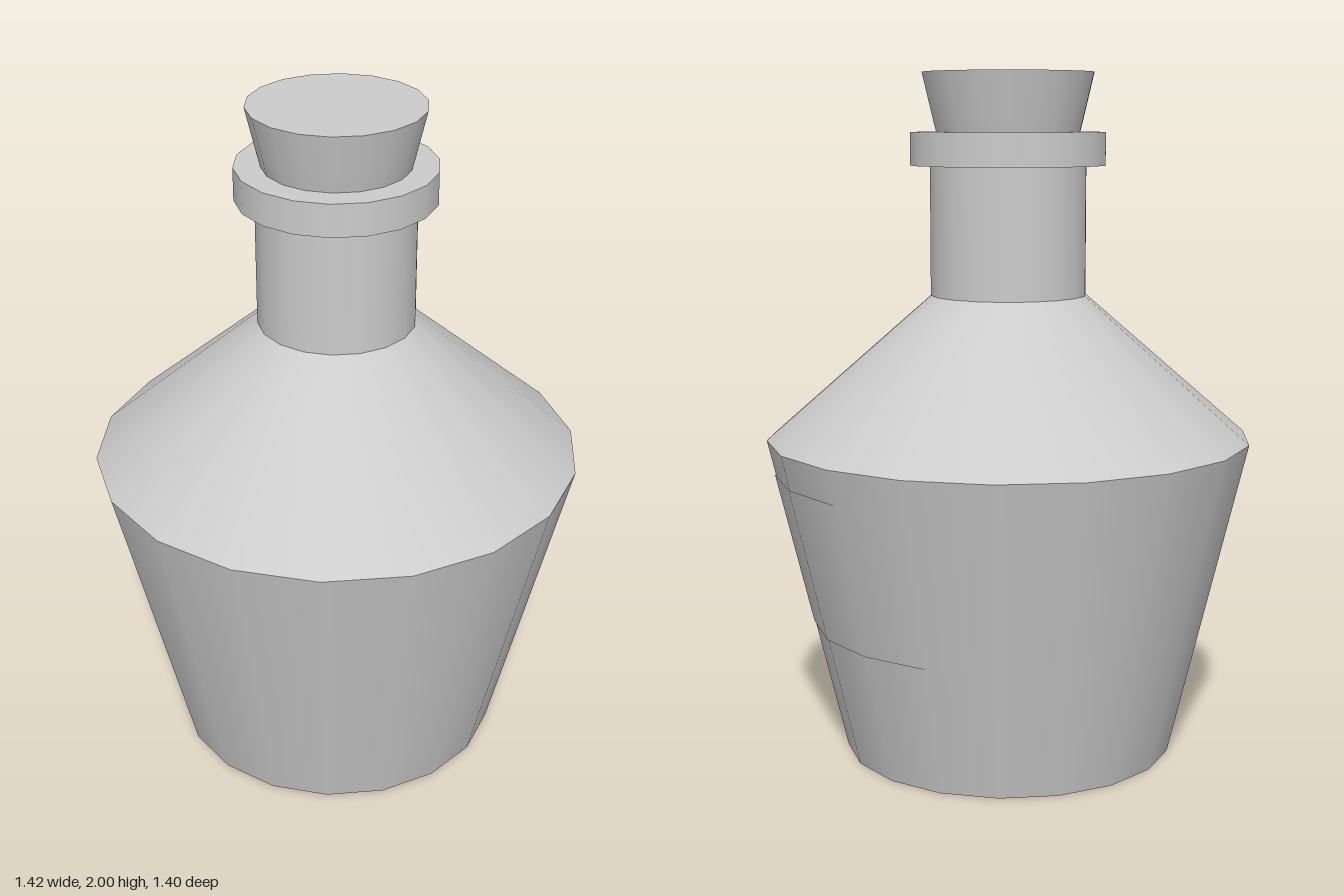
import * as THREE from 'three';

const SIDES = 18;
const DEG = Math.PI / 180;

export function createModel() {
  const group = new THREE.Group();
  const grey = new THREE.MeshStandardMaterial({ color: 0xcccccc });
  grey.name = 'light grey';

  // Tapered ring between two heights, with a corner on the x axis
  function band(name, y0, r0, y1, r1, open = false, sides = SIDES, start = 90, sweep = 360) {
    const geometry = new THREE.CylinderGeometry(
      r1, r0, y1 - y0, sides, 1, open, start * DEG, sweep * DEG);
    const mesh = new THREE.Mesh(geometry, grey);
    mesh.name = name;
    mesh.position.y = (y0 + y1) / 2;
    group.add(mesh);
    return mesh;
  }

  // Bottle
  const bodyRadius = (y) => 0.487 + (0.712 - 0.487) * y / 0.94;
  band('body', 0, bodyRadius(0), 0.94, bodyRadius(0.94));
  band('shoulder', 0.94, 0.712, 1.36, 0.228, true);
  band('neck', 1.36, 0.228, 1.74, 0.228, true);
  band('lip', 1.735, 0.285, 1.83, 0.285);

  // Stopper, flaring towards its top
  band('stopperBase', 1.82, 0.207, 1.86, 0.217, true);
  band('stopper', 1.86, 0.217, 2, 0.25);

  // Thin label wrapped round the back, following the body facets
  const lift = 0.003;
  band('label', 0.39, bodyRadius(0.39) + lift, 0.84, bodyRadius(0.84) + lift, true, 5, 130, 100);

  return group;
}
